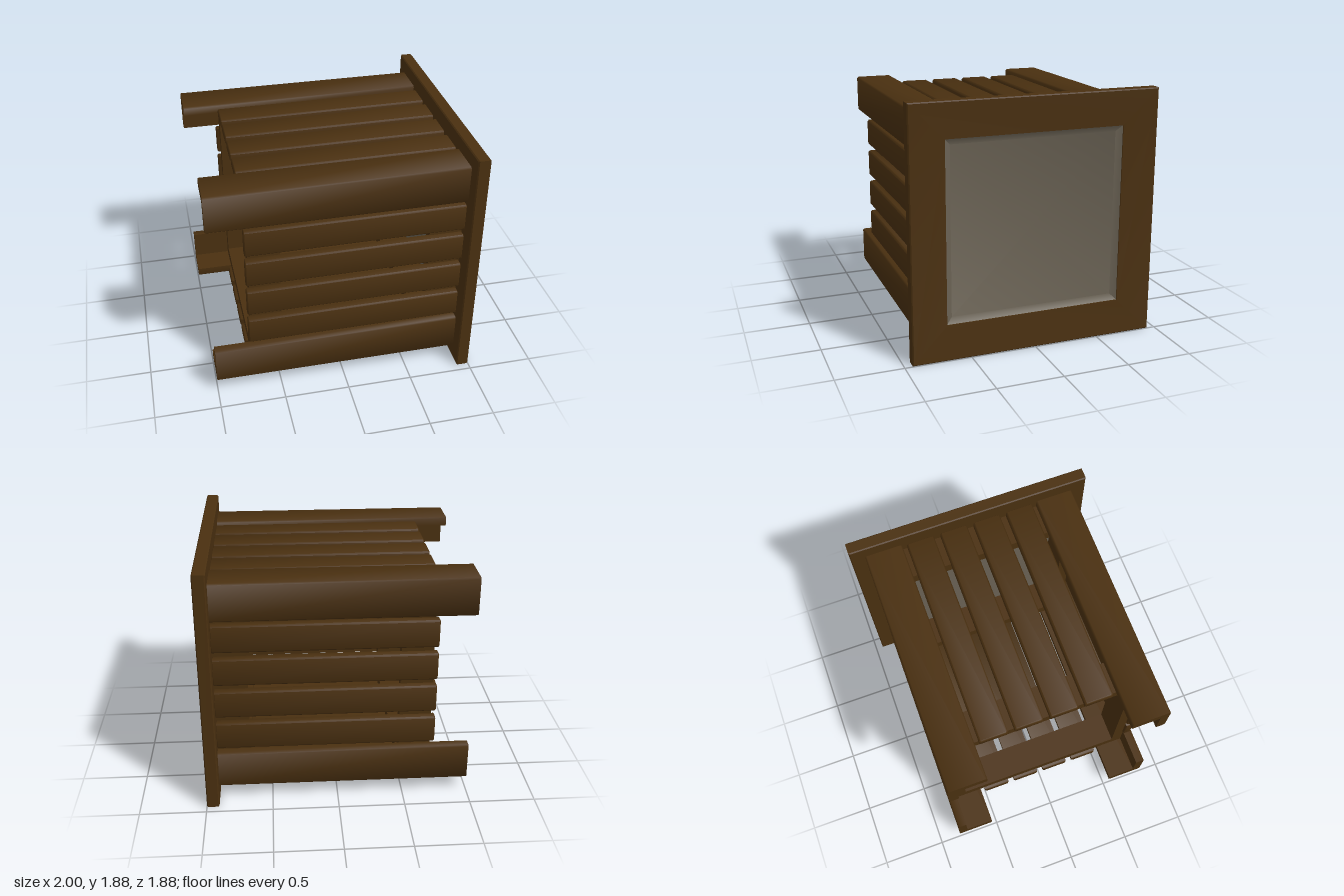
import * as THREE from 'three';
import { toCreasedNormals } from 'three/addons/utils/BufferGeometryUtils.js';

const MID = 0.94; // height of the crate's long axis

// Board running along x from x0 to x1, with section points given as [z, y]
function board(section, x0, x1, bevel, material) {
  const shape = new THREE.Shape(section.map(([z, y]) => new THREE.Vector2(-z, y)));
  const geometry = new THREE.ExtrudeGeometry(shape, {
    depth: x1 - x0 - 2 * bevel,
    bevelEnabled: bevel > 0,
    bevelThickness: bevel,
    bevelSize: bevel,
    bevelOffset: -bevel,
    bevelSegments: 1,
  });
  geometry.rotateY(Math.PI / 2).translate(x0 + bevel, 0, 0);
  return new THREE.Mesh(toCreasedNormals(geometry, 0.9), material);
}

// Mitred square ring around the x axis; profile points are [half size, x]
function squareRing(profile, material) {
  const points = profile.map(([half, x]) => new THREE.Vector2(half * Math.SQRT2, x));
  const geometry = new THREE.LatheGeometry(points, 4, Math.PI / 4).toNonIndexed();
  geometry.rotateZ(-Math.PI / 2);
  return new THREE.Mesh(toCreasedNormals(geometry, 0.6), material);
}

function band(inner, outer, x0, x1, material) {
  return squareRing([[outer, x0], [outer, x1], [inner, x1], [inner, x0], [outer, x0]], material);
}

export function createModel() {
  const wood = new THREE.MeshStandardMaterial({ color: 0x4a3010 });
  wood.name = 'dark brown wood';
  const cloth = new THREE.MeshStandardMaterial({ color: 0x6a6254 });
  cloth.name = 'warm grey panel';

  const model = new THREE.Group();
  model.name = 'slattedCrate';
  const body = new THREE.Group();
  body.name = 'crateBody';
  body.position.y = MID;
  model.add(body);
  const add = (parent, mesh, name) => {
    mesh.name = name;
    parent.add(mesh);
  };

  // Angle section of a corner rail, with small chamfers on its long edges
  const out = 0.83, inn = 0.54, leg = 0.76, c = 0.012;
  const angle = [
    [inn, leg], [leg, leg], [leg, inn], [out - c, inn], [out, inn + c],
    [out, out - c], [out - c, out], [inn + c, out], [inn, out - c],
  ];

  // Four sides, each with one corner rail and four slats
  for (let side = 0; side < 4; side++) {
    const group = new THREE.Group();
    group.name = 'side' + (side + 1);
    group.rotation.x = side * Math.PI / 2;
    add(group, board(angle, -1, 0.91, 0, wood), 'cornerRail');

    for (let i = 0; i < 4; i++) {
      const z = (i - 1.5) * 0.265, w = 0.107, y0 = 0.75, y1 = 0.815;
      const section = [
        [z - w, y0], [z + w, y0], [z + w, y1 - c], [z + w - c, y1],
        [z - w + c, y1], [z - w, y1 - c],
      ];
      add(group, board(section, -0.735, 0.91, 0.008, wood), 'slat');
    }
    body.add(group);
  }

  // Inner frames that hold the slats
  add(body, band(0.67, 0.758, -0.71, -0.47, wood), 'rearInnerFrame');
  add(body, band(0.67, 0.758, 0.66, 0.91, wood), 'frontInnerFrame');

  // Wide mitred frame, its face sloping slightly inward
  add(body, squareRing([
    [0.675, 0.905], [0.932, 0.905], [0.94, 0.913], [0.94, 0.992], [0.932, 1],
    [0.675, 0.975], [0.675, 0.905],
  ], wood), 'endFrame');

  // Recessed panel with a sloping rim
  add(body, squareRing([
    [0, 0.91], [0.676, 0.91], [0.676, 0.968], [0.63, 0.94], [0, 0.94],
  ], cloth), 'endPanel');

  return model;
}
